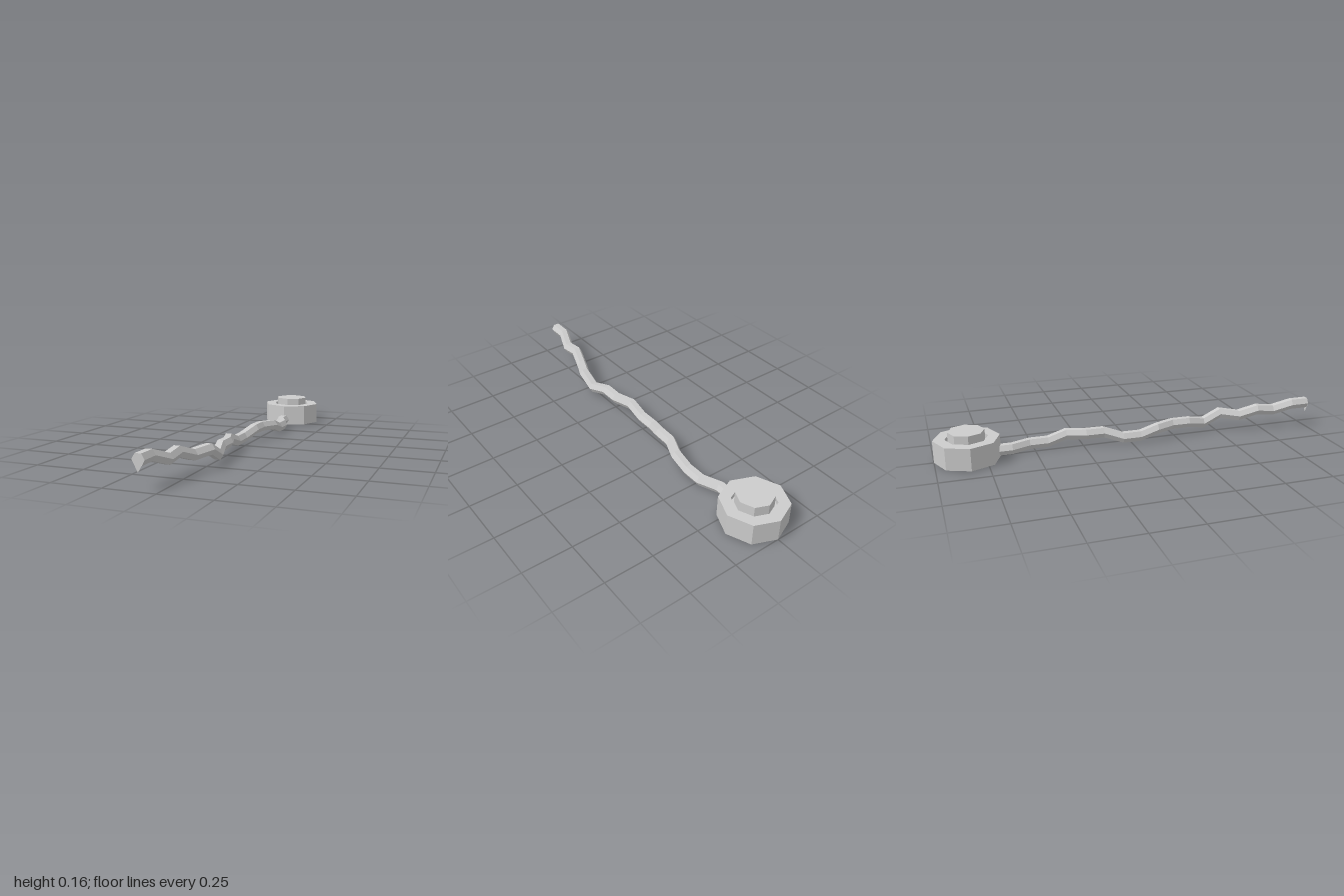
import * as THREE from 'three';

const SIDES = 6;
const CABLE_RADIUS = 0.03;
const BASE_Z = -0.837;

// Cable centre line: [x, y] at evenly spaced steps from the front end to the base
const PATH = [
  [-0.077, 0.134], [-0.077, 0.134], [-0.045, 0.1], [-0.045, 0.112], [-0.018, 0.08],
  [0.024, 0.09], [0.024, 0.045], [0, 0.066], [0, 0.066], [-0.034, 0.063],
  [-0.034, 0.034], [-0.034, 0.034], [-0.003, 0.064], [0, 0.064], [0.04, 0.06],
  [0.04, 0.03], [0.04, 0.03], [0, 0.03], [0, 0.03],
];
const STEP = 0.0952;

// Kinked hexagonal tube, one ring per path point
function cableGeometry() {
  const positions = [];
  const index = [];
  PATH.forEach(([x, y], i) => {
    for (let k = 0; k < SIDES; k++) {
      const a = (k / SIDES) * Math.PI * 2;
      positions.push(x + CABLE_RADIUS * Math.cos(a), y + CABLE_RADIUS * Math.sin(a), 1 - i * STEP);
      if (i === PATH.length - 1) continue;
      const p = i * SIDES + k;
      const q = i * SIDES + ((k + 1) % SIDES);
      index.push(p, p + SIDES, q, q, p + SIDES, q + SIDES);
    }
  });
  const geometry = new THREE.BufferGeometry();
  geometry.setAttribute('position', new THREE.Float32BufferAttribute(positions, 3));
  geometry.setIndex(index);
  geometry.computeVertexNormals();
  return geometry;
}

export function createModel() {
  const group = new THREE.Group();
  const solid = new THREE.MeshStandardMaterial({ color: 0xcccccc, flatShading: true });
  const thin = new THREE.MeshStandardMaterial({ color: 0xcccccc, flatShading: true, side: THREE.DoubleSide });

  const add = (name, geometry, material, x, y, z) => {
    const mesh = new THREE.Mesh(geometry, material);
    mesh.name = name;
    mesh.position.set(x, y, z);
    group.add(mesh);
  };

  // Octagonal housing with a shallow recess around the button
  const profile = [[0, 0], [0.163, 0], [0.163, 0.113], [0.105, 0.113], [0.105, 0.09], [0, 0.09]]
    .map(([r, y]) => new THREE.Vector2(r, y));
  add('housing', new THREE.LatheGeometry(profile, 8), solid, 0, 0, BASE_Z);

  // Raised push button
  add('button', new THREE.CylinderGeometry(0.09, 0.09, 0.059, 8), solid, 0, 0.1195, BASE_Z);

  // Cable running forward from the housing
  add('cable', cableGeometry(), thin, 0, 0, 0);

  // Flat end face of the cable, drawn down to a point
  const end = new THREE.Shape([
    [-0.107, 0.134], [-0.079, 0.08], [-0.047, 0.134], [-0.062, 0.16], [-0.092, 0.16],
  ].map(([x, y]) => new THREE.Vector2(x, y)));
  add('cableEnd', new THREE.ShapeGeometry(end), thin, 0, 0, 1);

  return group;
}
